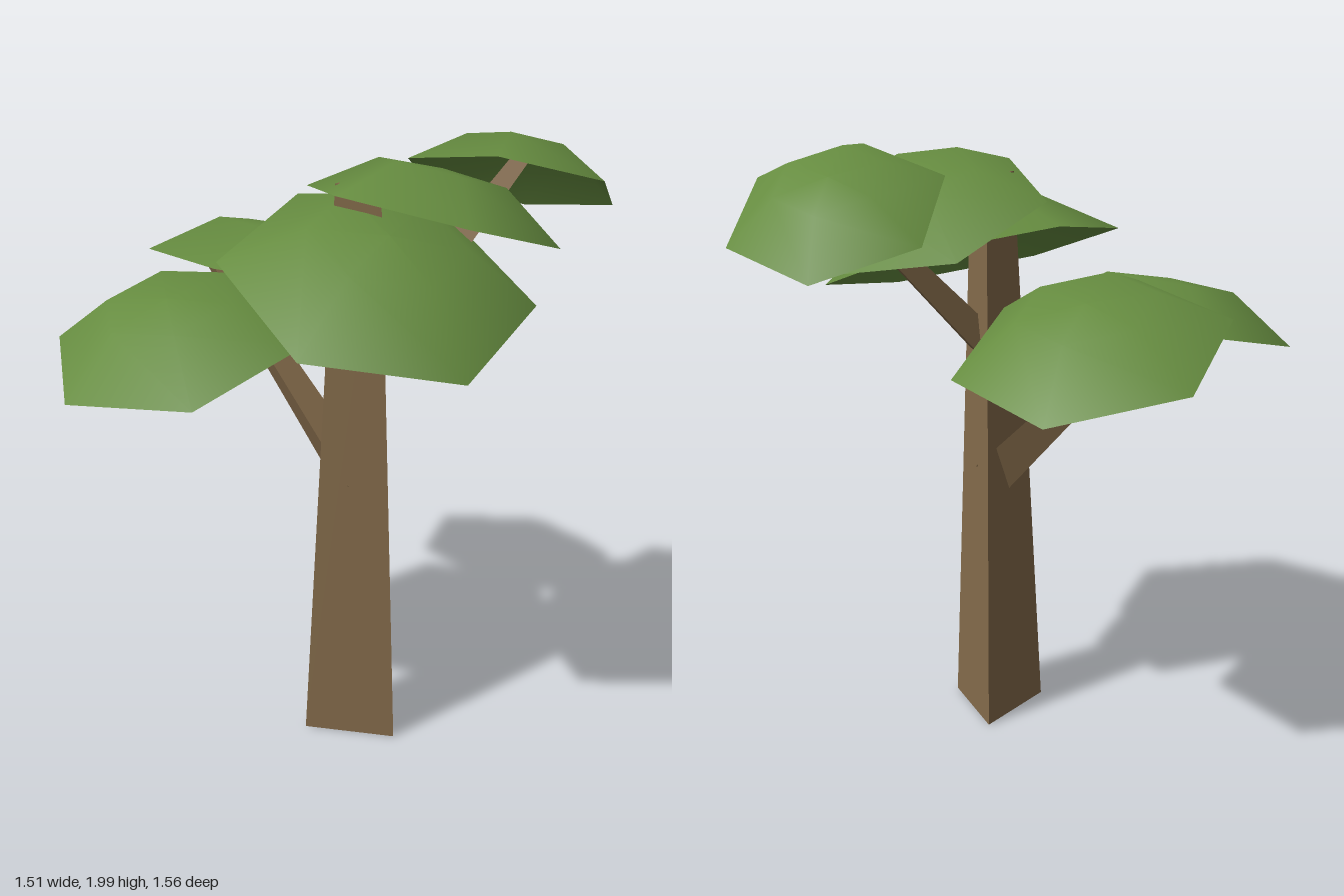
import * as THREE from 'three';

const V = (x, y, z) => new THREE.Vector3(x, y, z);

export function createModel() {
  const tree = new THREE.Group();
  tree.name = 'tree';
  const bark = new THREE.MeshStandardMaterial({ color: 0x836a4a, flatShading: true });
  bark.name = 'bark brown';
  const leaf = new THREE.MeshStandardMaterial({ color: 0x668c40, side: THREE.DoubleSide });
  leaf.name = 'leaf green';

  // Three-sided tapered limb running between two points
  function limb(name, from, to, r0, r1, spin) {
    const axis = to.clone().sub(from);
    const geo = new THREE.CylinderGeometry(r1, r0, axis.length(), 3, 1, false, spin);
    const mesh = new THREE.Mesh(geo, bark);
    mesh.name = name;
    mesh.position.copy(from).addScaledVector(axis, 0.5);
    mesh.quaternion.setFromUnitVectors(V(0, 1, 0), axis.normalize());
    tree.add(mesh);
  }

  limb('trunk', V(0.207, 0, 0), V(0.207, 1.87, 0), 0.173, 0.08, Math.PI / 2);
  limb('lowerBranch', V(0.2, 0.87, 0), V(-0.46, 1.53, 0), 0.078, 0.035, -Math.PI / 2);
  limb('upperBranch', V(0.22, 1.28, 0), V(0.42, 1.88, -0.52), 0.065, 0.03, Math.PI / 2);

  // Six-sided shallow dome of unit radius, open underneath
  const dome = new THREE.LatheGeometry(
    [[1, 0], [0.5, 0.335], [0, 0.365]].map(([x, y]) => new THREE.Vector2(x, y)), 6);

  // Tilted canopy set by its centre and two neighbouring rim corners
  function canopy(name, centre, cornerA, cornerB) {
    const z = cornerA.clone().sub(centre);
    const radius = z.length();
    const y = z.clone().cross(cornerB.clone().sub(centre)).normalize();
    if (y.y < 0) y.negate();
    z.normalize();
    const x = y.clone().cross(z);
    const mesh = new THREE.Mesh(dome, leaf);
    mesh.name = name;
    mesh.quaternion.setFromRotationMatrix(new THREE.Matrix4().makeBasis(x, y, z));
    mesh.position.copy(centre);
    mesh.scale.setScalar(radius);
    tree.add(mesh);
  }

  canopy('backRightCanopy', V(-0.34, 1.43, -0.21), V(-0.45, 1.31, -0.61), V(-0.75, 1.39, -0.31));
  canopy('frontRightCanopy', V(-0.215, 1.36, 0.37), V(-0.285, 1.25, 0.775), V(-0.62, 1.32, 0.51));
  canopy('frontCanopy', V(0.31, 1.58, 0.035), V(-0.13, 1.755, -0.09), V(-0.04, 1.66, 0.39));
  canopy('middleCanopy', V(0.338, 1.75, -0.178), V(0.29, 1.88, 0.205), V(-0.035, 1.81, -0.03));
  canopy('topCanopy', V(0.4, 1.805, -0.505), V(0.26, 1.65, -0.785), V(0.6, 1.715, -0.77));

  return tree;
}
